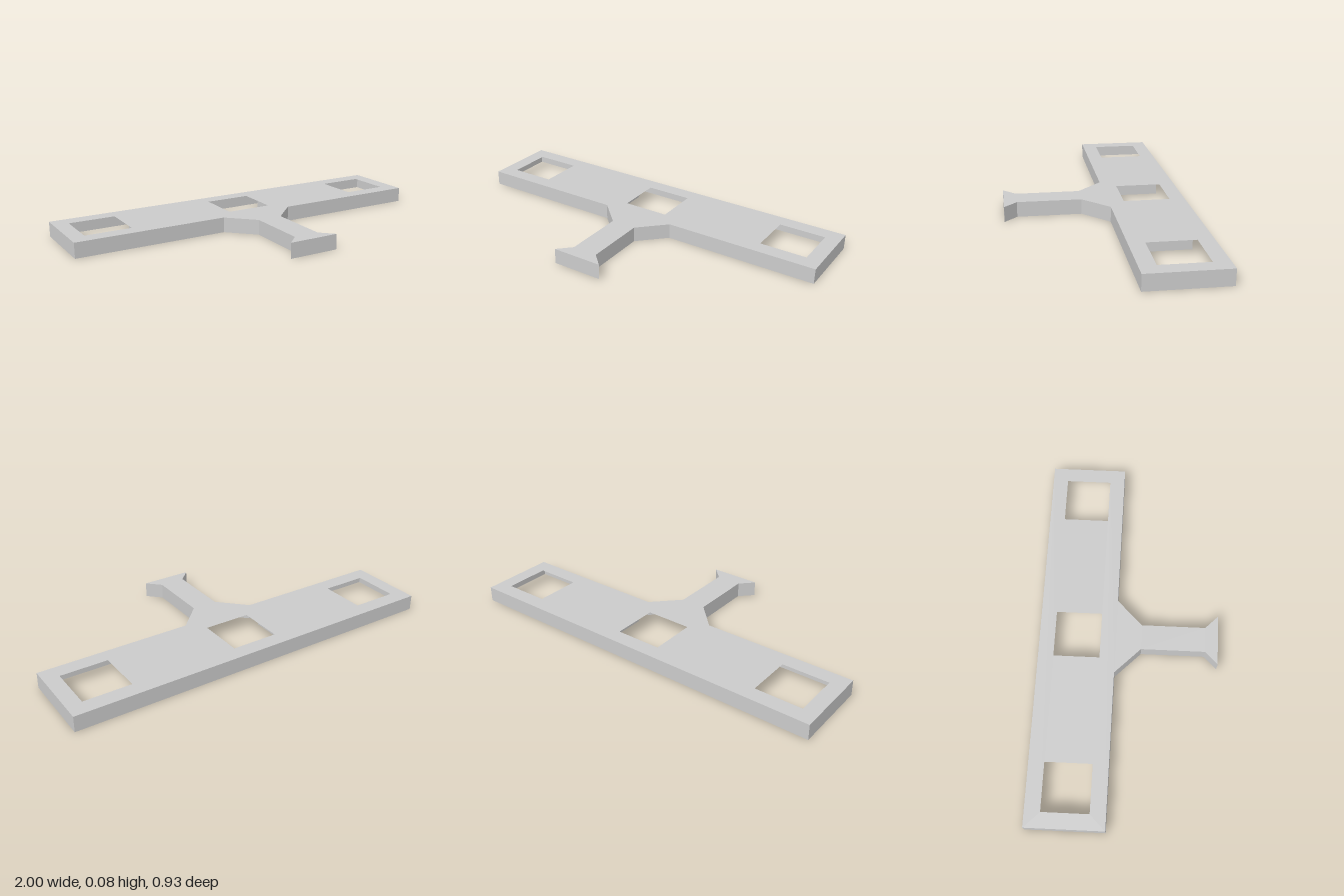
import * as THREE from 'three';

const H = 0.08;       // height of the shell
const U = 1 / 15;     // layout unit

// Open ribbon of vertical walls following a closed loop of [x, z] points
function wallLoop(points) {
  const pos = [];
  points.forEach(([x0, z0], i) => {
    const [x1, z1] = points[(i + 1) % points.length];
    pos.push(x0, 0, z0, x1, 0, z1, x1, H, z1, x0, 0, z0, x1, H, z1, x0, H, z0);
  });
  const geo = new THREE.BufferGeometry();
  geo.setAttribute('position', new THREE.Float32BufferAttribute(pos, 3));
  geo.computeVertexNormals();
  return geo;
}

// Rectangle corners, counter-clockwise seen from above
function rect(cx, cz, hx, hz) {
  return [[cx - hx, cz + hz], [cx + hx, cz + hz], [cx + hx, cz - hz], [cx - hx, cz - hz]];
}

export function createModel() {
  const group = new THREE.Group();
  group.name = 'tShapedShell';
  const grey = new THREE.MeshStandardMaterial({ color: 0xcccccc, side: THREE.DoubleSide });
  grey.name = 'lightGrey';

  const add = (name, geo) => {
    const mesh = new THREE.Mesh(geo, grey);
    mesh.name = name;
    group.add(mesh);
  };

  // Outline: wide bar at the back, flared stem at the front, mirrored in x
  const half = [[2, 7], [1, 6], [1, 1], [3, -1], [15, -1], [15, -7]].map(([x, z]) => [x * U, z * U]);
  const outline = [...half, ...half.map(([x, z]) => [-x, z]).reverse()];

  // Top plate with three square openings
  const toShape = ([x, z]) => new THREE.Vector2(x, -z);
  const shape = new THREE.Shape(outline.map(toShape));
  const barZ = -4 * U;
  for (const x of [-0.8, 0, 0.8]) {
    shape.holes.push(new THREE.Path(rect(x, barZ, 0.122, 0.12).map(toShape)));
  }
  add('topPlate', new THREE.ShapeGeometry(shape).rotateX(-Math.PI / 2).translate(0, H, 0));

  // Outer rim
  add('outerWalls', wallLoop(outline));

  // Rectangular ribs hanging between the openings
  add('leftInnerFrame', wallLoop(rect(0.4, barZ, 0.2, 0.12)));
  add('rightInnerFrame', wallLoop(rect(-0.4, barZ, 0.2, 0.12)));

  return group;
}
